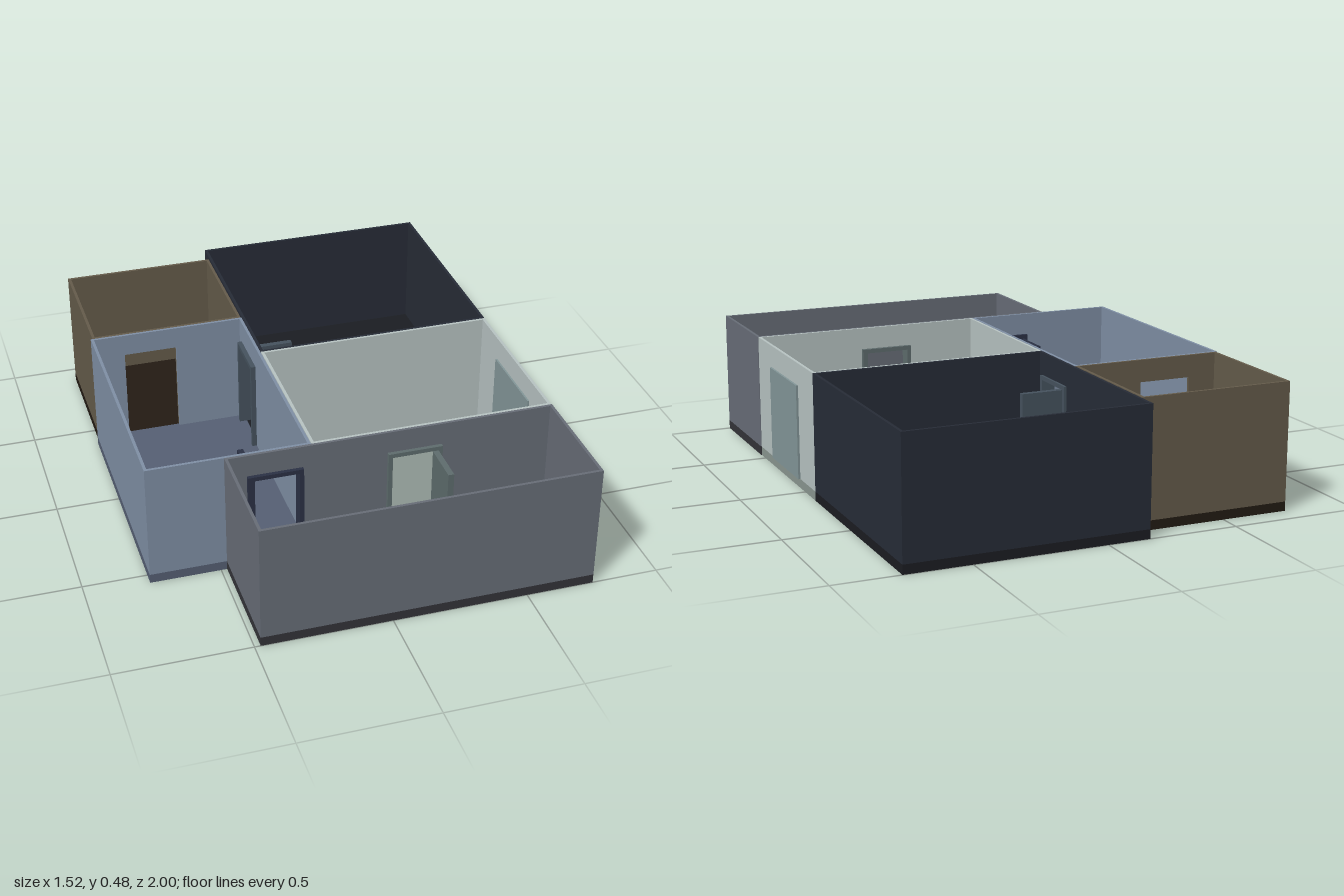
import * as THREE from 'three';

const H = 0.48, FLOOR = 0.035, T = 0.011, DOOR_TOP = 0.395;

function mat(color) {
  return new THREE.MeshStandardMaterial({ color });
}

// Box given by its min and max corners
function box(name, material, x0, x1, y0, y1, z0, z1) {
  const mesh = new THREE.Mesh(new THREE.BoxGeometry(x1 - x0, y1 - y0, z1 - z0), material);
  mesh.position.set((x0 + x1) / 2, (y0 + y1) / 2, (z0 + z1) / 2);
  mesh.name = name;
  return mesh;
}

// Wall panel running from a to b, standing on the floor, with an optional doorway [from, to]
function wallPanel(name, material, a, b, door) {
  const s = new THREE.Shape();
  s.moveTo(a, FLOOR);
  if (door) {
    s.lineTo(door[0], FLOOR);
    s.lineTo(door[0], DOOR_TOP);
    s.lineTo(door[1], DOOR_TOP);
    s.lineTo(door[1], FLOOR);
  }
  s.lineTo(b, FLOOR);
  s.lineTo(b, H);
  s.lineTo(a, H);
  s.closePath();
  const mesh = new THREE.Mesh(new THREE.ExtrudeGeometry(s, { depth: T, bevelEnabled: false }), material);
  mesh.name = name;
  return mesh;
}

// Open-topped room: floor slab and four thin walls
function room({ name, x: [x0, x1], z: [z0, z1], wall, floor, doors = {} }) {
  const g = new THREE.Group();
  g.name = name;
  const m = mat(wall);
  g.add(box('floor', mat(floor), x0, x1, 0, FLOOR, z0, z1));

  const back = wallPanel('backWall', m, x0, x1, doors.back);
  back.position.z = z0;
  const front = wallPanel('frontWall', m, x0, x1, doors.front);
  front.position.z = z1 - T;

  // Side walls: the panel's own x axis turns to -z
  const flip = (d) => d && [-d[1], -d[0]];
  const side = (label, x, door) => {
    const w = wallPanel(label, m, -(z1 - T), -(z0 + T), flip(door));
    w.rotation.y = Math.PI / 2;
    w.position.x = x;
    return w;
  };
  g.add(back, front, side('rightSideWall', x1 - T, doors.plusX), side('leftSideWall', x0, doors.minusX));
  return g;
}

// Door frame centred on the origin in a wall along x; the leaf stands open at 90 degrees
// hinge: side of the hinge along x, swing: side of the wall the leaf opens to
function doorway(name, color, x, z, hinge, swing, turn = 0) {
  const g = new THREE.Group();
  g.name = name;
  const m = mat(color);
  const w = 0.1025, d = 0.026, j = 0.016;
  g.add(
    box('jamb', m, -w, -w + j, FLOOR, DOOR_TOP, -d, d),
    box('jamb', m, w - j, w, FLOOR, DOOR_TOP, -d, d),
    box('lintel', m, -w + j, w - j, DOOR_TOP - j, DOOR_TOP, -d, d)
  );
  const c = hinge * (w - j - 0.011);
  const z0 = swing > 0 ? d : -d - 0.16;
  g.add(box('doorLeaf', m, c - 0.011, c + 0.011, FLOOR + 0.003, DOOR_TOP - j, z0, z0 + 0.16));
  g.position.set(x, 0, z);
  g.rotation.y = turn;
  return g;
}

export function createModel() {
  const model = new THREE.Group();
  model.name = 'apartment';

  const hallDoor = [-0.40, -0.195], livingDoor = [0.12, 0.325];
  const bedDoor = [-0.36, -0.155], bathDoor = [-0.635, -0.43];

  const rooms = [
    { name: 'darkRoom', x: [-0.16, 0.75], z: [-1, -0.12], wall: 0x272c37, floor: 0x1b1d22,
      doors: { minusX: bedDoor } },
    { name: 'brownRoom', x: [-0.755, -0.165], z: [-0.915, -0.40], wall: 0x655c4b, floor: 0x231b13,
      doors: { front: bathDoor } },
    { name: 'blueRoom', x: [-0.762, -0.162], z: [-0.40, 0.547], wall: 0x8090a6, floor: 0x566074,
      doors: { back: bathDoor, front: hallDoor, plusX: bedDoor } },
    { name: 'greenRoom', x: [-0.16, 0.75], z: [-0.12, 0.547], wall: 0xb8c4c3, floor: 0x8b9791,
      doors: { front: livingDoor } },
    { name: 'greyRoom', x: [-0.478, 0.752], z: [0.547, 1], wall: 0x686e78, floor: 0x343439,
      doors: { back: [hallDoor, livingDoor] } },
  ];

  for (const r of rooms) {
    // The grey room's back wall holds two doorways, so it is made of two panels
    if (r.name === 'greyRoom') {
      const [a, b] = r.doors.back;
      r.doors.back = null;
      const g = room(r);
      const old = g.getObjectByName('backWall');
      g.remove(old);
      for (const [from, to, door] of [[r.x[0], 0, a], [0, r.x[1], b]]) {
        const panel = wallPanel('backWall', old.material, from, to, door);
        panel.position.z = r.z[0];
        g.add(panel);
      }
      model.add(g);
    } else model.add(room(r));
  }

  // Doors
  model.add(
    doorway('blueRoomDoor', 0x2b3145, -0.2975, 0.547, -1, -1),
    doorway('greenRoomDoor', 0x5f6d6e, 0.2225, 0.547, 1, 1),
    doorway('darkRoomDoor', 0x46535f, -0.165, -0.2575, 1, 1, Math.PI / 2)
  );

  // Glass door panel in the outer wall
  model.add(box('glassDoor', mat(0x849799), 0.732, 0.758, FLOOR, 0.395, 0.055, 0.378));

  // Thin floor coverings
  model.add(
    box('rug', mat(0x8b9791), -0.037, 0.412, FLOOR, FLOOR + 0.004, 0.01, 0.415),
    box('floorMat', mat(0x343439), -0.455, 0.73, FLOOR, FLOOR + 0.004, 0.68, 0.985)
  );
  return model;
}
